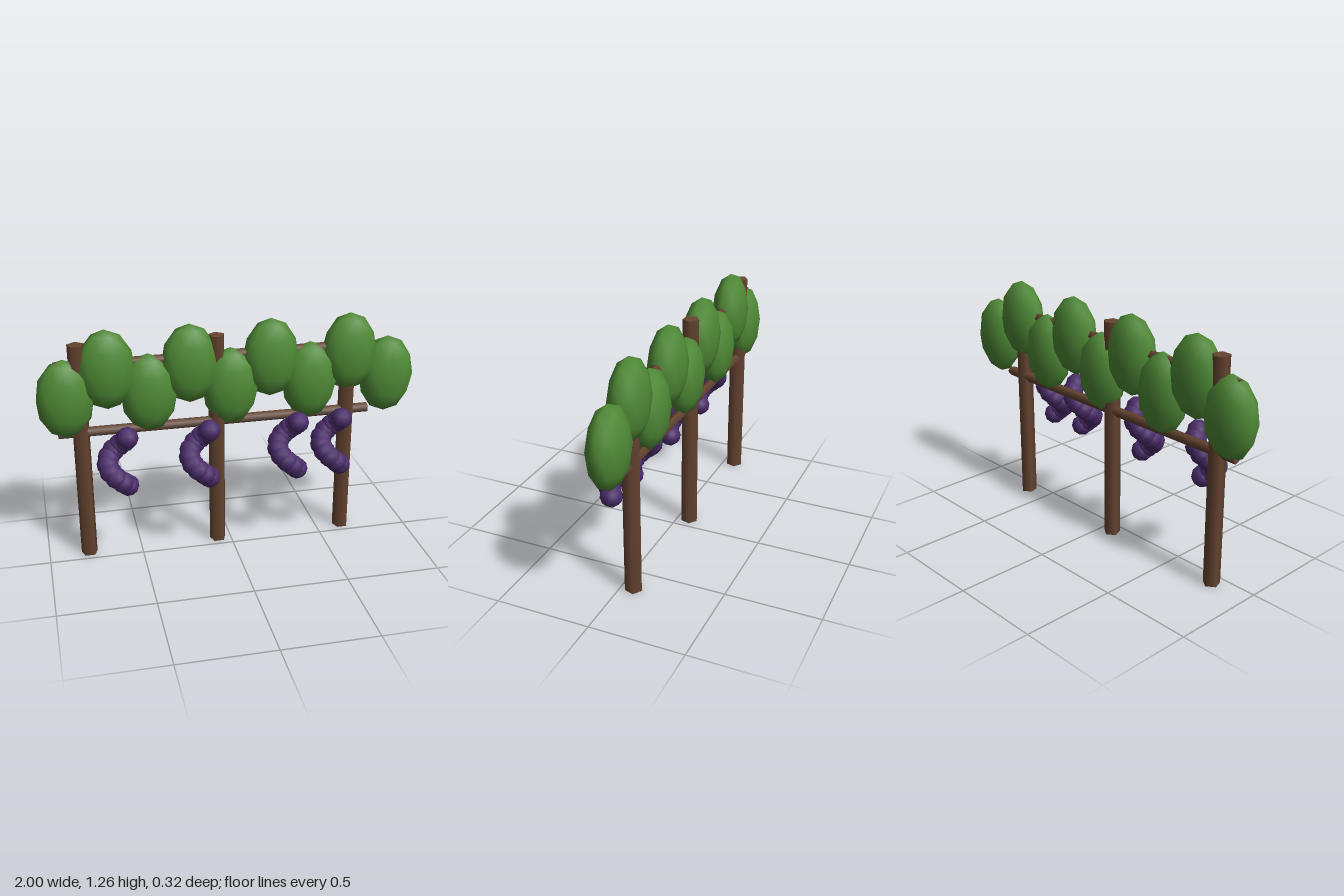
import * as THREE from 'three';

const BACK_Z = -0.067; // plane of posts, rails and foliage

// Low-poly ball with a vertex at each pole
function ballGeometry(rx, ry, rz) {
  const g = new THREE.IcosahedronGeometry(1, 1);
  g.rotateZ(-Math.atan(2 / (1 + Math.sqrt(5))));
  g.scale(rx, ry, rz);
  return g;
}

// Five-sided pole with its ridge toward the back
function poleGeometry(radius, length) {
  return new THREE.CylinderGeometry(radius, radius, length, 5, 1, false, Math.PI);
}

export function createModel() {
  const model = new THREE.Group();
  model.name = 'grapeTrellis';

  const wood = new THREE.MeshStandardMaterial({ color: 0x654430 });
  wood.name = 'brownWood';
  const leaf = new THREE.MeshStandardMaterial({ color: 0x4f8a36 });
  leaf.name = 'greenLeaf';
  const grape = new THREE.MeshStandardMaterial({ color: 0x4a2c6a });
  grape.name = 'purpleGrape';

  const add = (parent, name, geometry, material, x, y, z) => {
    const mesh = new THREE.Mesh(geometry, material);
    mesh.name = name;
    mesh.position.set(x, y, z);
    parent.add(mesh);
    return mesh;
  };

  // Three upright posts
  const postGeo = poleGeometry(0.045, 1.192);
  for (const x of [-0.786, -0.072, 0.642]) {
    add(model, 'post', postGeo, wood, x, 0.596, BACK_Z);
  }

  // Two horizontal rails
  const railGeo = poleGeometry(0.027, 1.665);
  railGeo.rotateZ(Math.PI / 2);
  add(model, 'lowerRail', railGeo, wood, -0.072, 0.715, BACK_Z);
  add(model, 'upperRail', railGeo, wood, -0.072, 1.08, BACK_Z);

  // Row of flattened foliage clumps, alternating low and high
  const foliage = new THREE.Group();
  foliage.name = 'foliage';
  model.add(foliage);
  const clumpGeo = ballGeometry(0.15, 0.214, 0.0935);
  for (let i = 0; i < 9; i++) {
    add(foliage, 'leafClump', clumpGeo, leaf,
      (i - 4) * 0.2143, i % 2 ? 1.047 : 0.905, BACK_Z);
  }

  // Grape bunches: balls descending along a spiral
  const grapeGeo = ballGeometry(0.058, 0.058, 0.058);
  for (const x of [-0.617, -0.19, 0.286, 0.524]) {
    const bunch = new THREE.Group();
    bunch.name = 'grapeBunch';
    bunch.position.set(x, 0.715, 0.051);
    model.add(bunch);
    for (let i = 0; i < 10; i++) {
      const a = (i / 10) * Math.PI * 2;
      add(bunch, 'grape', grapeGeo, grape,
        0.0535 * Math.cos(a), -0.028 * i, -0.0535 * Math.sin(a));
    }
  }

  return model;
}
